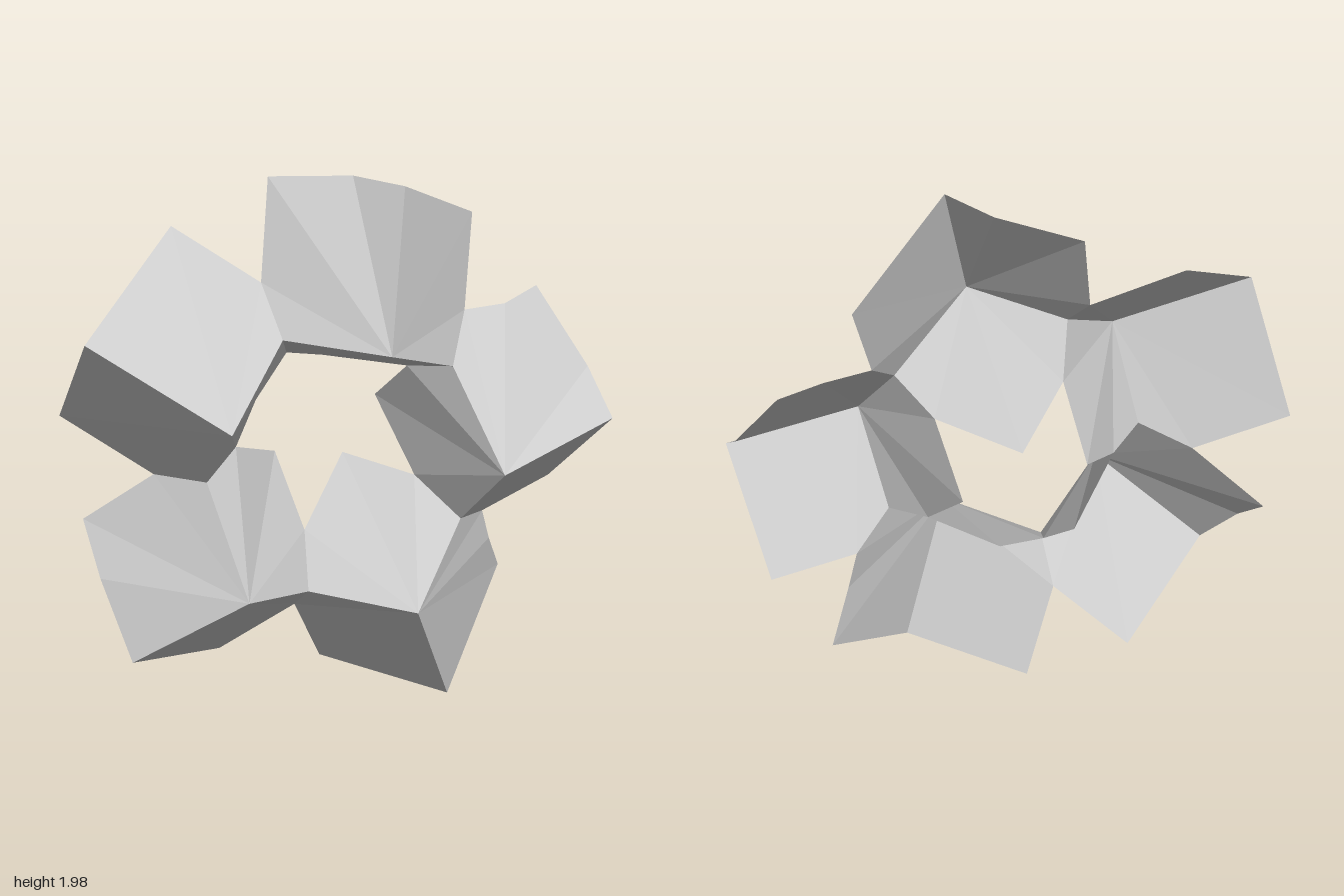
import * as THREE from 'three';

// Ring of five open cube corners, listed clockwise from the top.
// tip: front corner, outer: outward corner, back: inner rear corner,
// left/right: side paths from the outer corner to the counterclockwise/clockwise seam.
const CORNERS = [
  { name: 'topCorner', tip: [0.064, 1.444], outer: [0.18, 1.975], back: [0.02, 1.23],
    left: [[0.05, 1.98, -0.06], [-0.215, 1.957, -0.235]], right: [[0.56, 1.78, -0.235]] },
  { name: 'sideCorner', tip: [0.487, 0.968], outer: [1.0, 1.053], back: [0.23, 1.053],
    left: [[0.975, 1.2, -0.06], [0.825, 1.48, -0.235], [0.66, 1.45, -0.13]], right: [[0.904, 0.7, -0.235]] },
  { name: 'bottomCorner', tip: [0.171, 0.47], outer: [0.372, 0.0], back: [0.1, 0.828],
    left: [[0.705, 0.34, -0.235], [0.62, 0.51, -0.12]], right: [[-0.035, 0.04, -0.235]] },
  { name: 'lowerCorner', tip: [-0.449, 0.588], outer: [-0.83, 0.294], back: [-0.17, 0.86],
    left: [[-0.435, 0.122, -0.235]], right: [[-0.905, 0.55, -0.06], [-0.935, 0.72, -0.235]] },
  { name: 'upperCorner', tip: [-0.497, 1.214], outer: [-0.945, 1.498], back: [-0.21, 1.143],
    left: [[-1.0, 1.13, -0.235]], right: [[-0.57, 1.8, -0.235]] },
];

// Seams shared by neighbours; seam i lies counterclockwise of corner i.
// Each runs from the outside (p) over the valley (q) to the inner opening (r).
const SEAMS = [
  { p: [-0.28, 1.61], q: [-0.246, 1.444], r: [-0.18, 1.33] },
  { p: [0.487, 1.45], q: [0.385, 1.294], r: [0.28, 1.24] },
  { p: [0.578, 0.642], q: [0.428, 0.695], r: [0.315, 0.802] },
  { p: [-0.17, 0.342], q: [-0.16, 0.47], r: [-0.118, 0.625] },
  { p: [-0.69, 0.925], q: [-0.53, 0.941], r: [-0.375, 0.984] },
].map(({ p, q, r }) => ({ p: [...p, -0.09], q: [...q, 0.085], r: [...r, -0.13] }));

const material = new THREE.MeshStandardMaterial({
  color: 0xcccccc, flatShading: true, side: THREE.DoubleSide,
});

// Panel from a loop of corners, filled as a fan from the first one
function panel(name, loop) {
  const index = [];
  for (let i = 1; i < loop.length - 1; i++) index.push(0, i, i + 1);
  const geometry = new THREE.BufferGeometry();
  geometry.setAttribute('position', new THREE.Float32BufferAttribute(loop.flat(), 3));
  geometry.setIndex(index);
  const flat = geometry.toNonIndexed();
  flat.computeVertexNormals();
  const mesh = new THREE.Mesh(flat, material);
  mesh.name = name;
  return mesh;
}

export function createModel() {
  const ring = new THREE.Group();
  ring.name = 'cubeCornerRing';
  CORNERS.forEach((c, i) => {
    const a = SEAMS[i], b = SEAMS[(i + 1) % SEAMS.length];
    const tip = [...c.tip, 0.375], outer = [...c.outer, 0.135], back = [...c.back, -0.375];
    const corner = new THREE.Group();
    corner.name = c.name;
    corner.add(
      panel('counterclockwisePanel', [tip, outer, ...c.left, a.p, a.q]),
      panel('clockwisePanel', [tip, b.q, b.p, ...[...c.right].reverse(), outer]),
      panel('innerPanel', [tip, a.q, a.r, back, b.r, b.q]),
    );
    ring.add(corner);
  });
  return ring;
}
